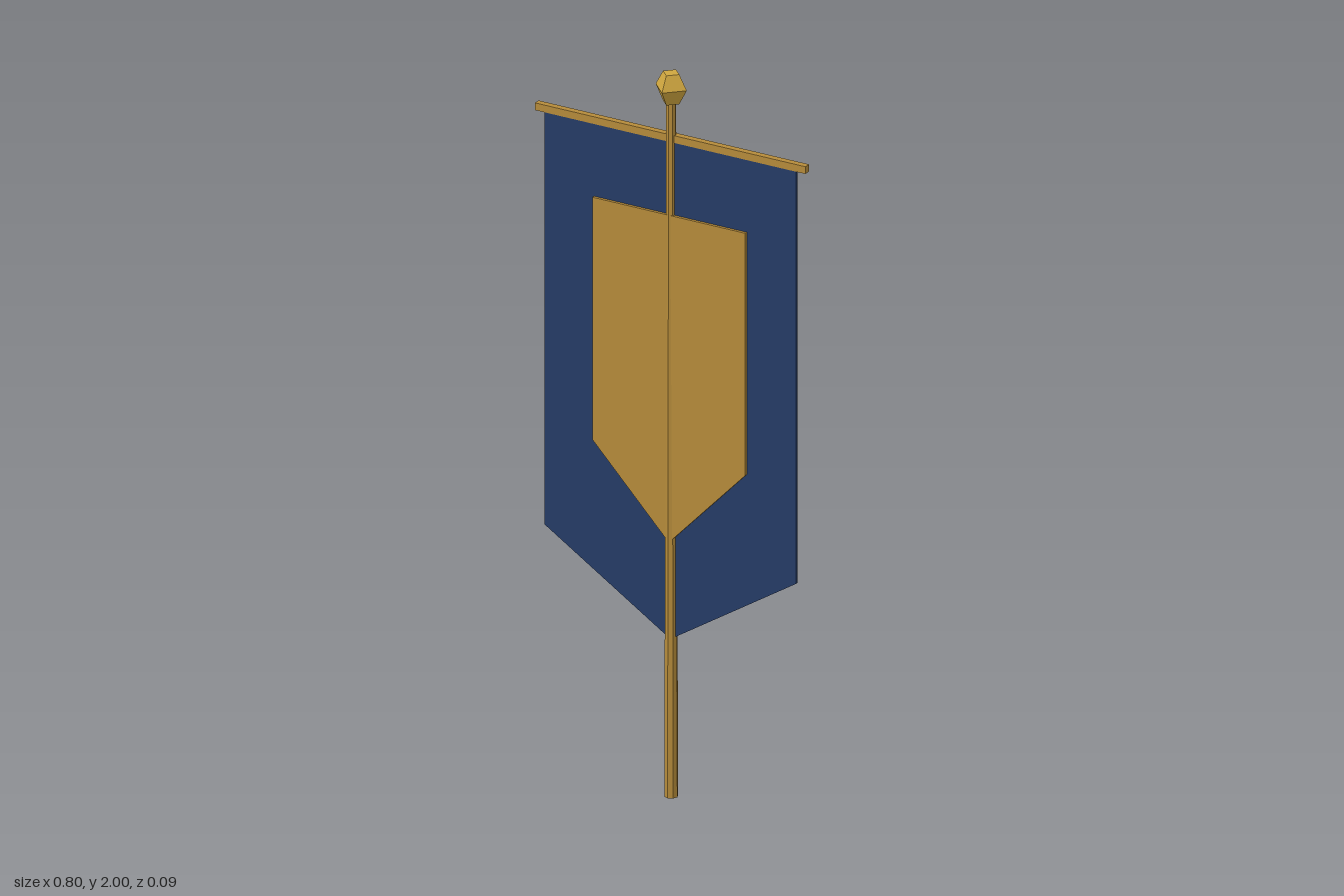
import * as THREE from 'three';

const mat = (name, color) => {
  const m = new THREE.MeshStandardMaterial({ color, flatShading: true });
  m.name = name;
  return m;
};

export function createModel() {
  const group = new THREE.Group();
  const brass = mat('brass', 0xb58b3a);
  const gold = mat('bright gold', 0xcfa63f);
  const navy = mat('navy cloth', 0x253b66);

  const add = (name, geometry, material, x = 0, y = 0, z = 0) => {
    const mesh = new THREE.Mesh(geometry, material);
    mesh.name = name;
    mesh.position.set(x, y, z);
    group.add(mesh);
  };

  // Flat panel with a straight top and a pointed lower edge
  const pennant = (halfWidth, top, shoulder, tip, depth) => {
    const shape = new THREE.Shape([
      new THREE.Vector2(-halfWidth, top),
      new THREE.Vector2(-halfWidth, shoulder),
      new THREE.Vector2(0, tip),
      new THREE.Vector2(halfWidth, shoulder),
      new THREE.Vector2(halfWidth, top),
    ]);
    return new THREE.ExtrudeGeometry(shape, { depth, bevelEnabled: false });
  };

  // Tapered pole and the bar the cloth hangs from
  add('pole', new THREE.CylinderGeometry(0.013, 0.018, 1.93, 8), brass, 0, 0.965, 0);
  add('crossbar', new THREE.BoxGeometry(0.8, 0.02, 0.018), brass, 0, 1.82, -0.004);

  // Cloth and the raised emblem on its front
  add('banner', pennant(0.372, 1.815, 0.67, 0.435, 0.008), navy, 0, 0, -0.004);
  add('emblem', pennant(0.226, 1.61, 0.94, 0.705, 0.008), brass, 0, 0, 0.004);

  // Four-sided faceted finial
  const profile = [[0, 1.918], [0.024, 1.918], [0.046, 1.96], [0.024, 2], [0, 2]]
    .map(([r, y]) => new THREE.Vector2(r, y));
  add('finial', new THREE.LatheGeometry(profile, 4), gold);

  return group;
}
